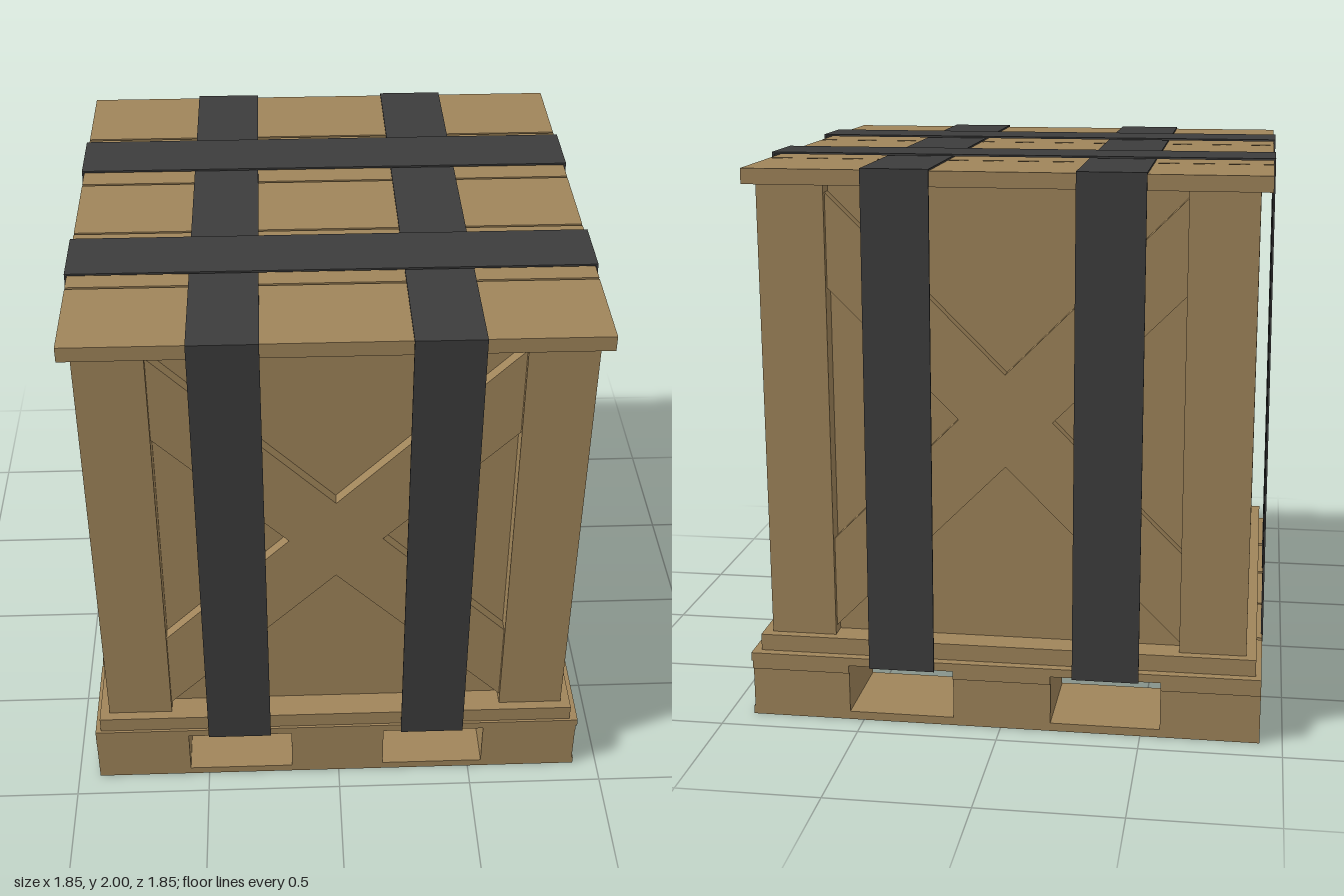
import * as THREE from 'three';

export function createModel() {
  const wood = new THREE.MeshStandardMaterial({ color: 0xa0855a });
  wood.name = 'wood';
  const webbing = new THREE.MeshStandardMaterial({ color: 0x3c3c3c });
  webbing.name = 'strapWebbing';

  const model = new THREE.Group();
  model.name = 'strappedCrate';
  const group = (name, parent = model) => {
    const g = new THREE.Group();
    g.name = name;
    parent.add(g);
    return g;
  };
  // box given by its lower and upper limits on each axis
  const board = (parent, name, [x0, x1], [y0, y1], [z0, z1]) => {
    const m = new THREE.Mesh(new THREE.BoxGeometry(x1 - x0, y1 - y0, z1 - z0), wood);
    m.position.set((x0 + x1) / 2, (y0 + y1) / 2, (z0 + z1) / 2);
    m.name = name;
    parent.add(m);
  };
  const outline = (pts) => new THREE.Shape(pts.map(([x, y]) => new THREE.Vector2(x, y)));

  // Pallet: skids, blocks, stringers and deck
  const pallet = group('pallet');
  const full = [-0.92, 0.91];
  const blockX = [[-0.92, -0.57], [-0.18, 0.17], [0.55, 0.905]];
  const blockZ = [[-0.9, -0.545], [-0.17, 0.18], [0.56, 0.912]];
  for (const z of blockZ) {
    board(pallet, 'skid', full, [0, 0.03], z);
    for (const x of blockX) board(pallet, 'block', x, [0.03, 0.18], z);
  }
  for (const x of blockX) board(pallet, 'stringer', x, [0.18, 0.21], [-0.908, 0.915]);
  const deckZ = [[-0.908, -0.535], [-0.515, -0.17], [-0.155, 0.185], [0.205, 0.535], [0.56, 0.915]];
  for (const z of deckZ) board(pallet, 'deckBoard', full, [0.21, 0.24], z);

  // Crate sits slightly off the pallet's middle
  const crate = group('crate');
  crate.position.set(-0.01, 0, 0.015);
  const P = 0.79; // wall half width
  board(crate, 'innerWalls', [-P, P], [0.24, 1.93], [-P, P]);

  // Braces: one runs through, the other is cut in two around it
  const throughBrace = outline([[-0.62, 0.455], [0.62, -0.785], [0.62, -0.455], [-0.62, 0.785]]);
  const halfBrace = outline([[0, 0.165], [0.165, 0], [0.62, 0.455], [0.62, 0.785]]);
  const halfBrace2 = outline([[0, -0.165], [-0.165, 0], [-0.62, -0.455], [-0.62, -0.785]]);

  for (let i = 0; i < 4; i++) {
    const side = group('crateSide', crate);
    side.rotation.y = (i * Math.PI) / 2;
    for (const s of [throughBrace, halfBrace, halfBrace2]) {
      const geo = new THREE.ExtrudeGeometry(s, { depth: 0.045, bevelEnabled: false });
      const brace = new THREE.Mesh(geo, wood);
      brace.name = 'diagonalBrace';
      brace.position.set(0, 1.115, P);
      side.add(brace);
    }
    // corner boards, mitred by overlap, and the base rail
    board(side, 'cornerBoardLeft', [0.62, 0.855], [0.3, 1.93], [P - 0.01, 0.855]);
    board(side, 'cornerBoardRight', [-0.855, -0.62], [0.3, 1.93], [P - 0.01, 0.855]);
    board(side, 'baseRail', [-0.89, 0.89], [0.24, 0.3], [P - 0.01, 0.89]);
  }

  // Lid planks with narrow gaps
  const lidZ = [[-0.893, -0.545], [-0.535, -0.185], [-0.175, 0.17], [0.18, 0.53], [0.54, 0.89]];
  for (const z of lidZ) board(crate, 'lidPlank', [-0.895, 0.895], [1.93, 1.984], z);

  // Straps: thin bands that spread a little towards the pallet
  const strap = (top, offset, across, alongZ) => {
    const t = 0.007, h = 0.901, b = 0.923;
    const s = outline([
      [-b, 0.21], [-b + t, 0.21], [offset - h + t, top - t], [offset + h - t, top - t],
      [b - t, 0.21], [b, 0.21], [offset + h, top], [offset - h, top],
    ]);
    const geo = new THREE.ExtrudeGeometry(s, { depth: 0.235, bevelEnabled: false });
    geo.translate(0, 0, -0.1175);
    if (alongZ) geo.rotateY(-Math.PI / 2);
    const m = new THREE.Mesh(geo, webbing);
    m.name = alongZ ? 'frontToBackStrap' : 'sideToSideStrap';
    m.position.set(alongZ ? across : 0, 0, alongZ ? 0 : across);
    model.add(m);
  };
  strap(1.99, 0.015, -0.376, true);
  strap(1.99, 0.015, 0.353, true);
  strap(2, -0.01, -0.36, false);
  strap(2, -0.01, 0.368, false);

  return model;
}
